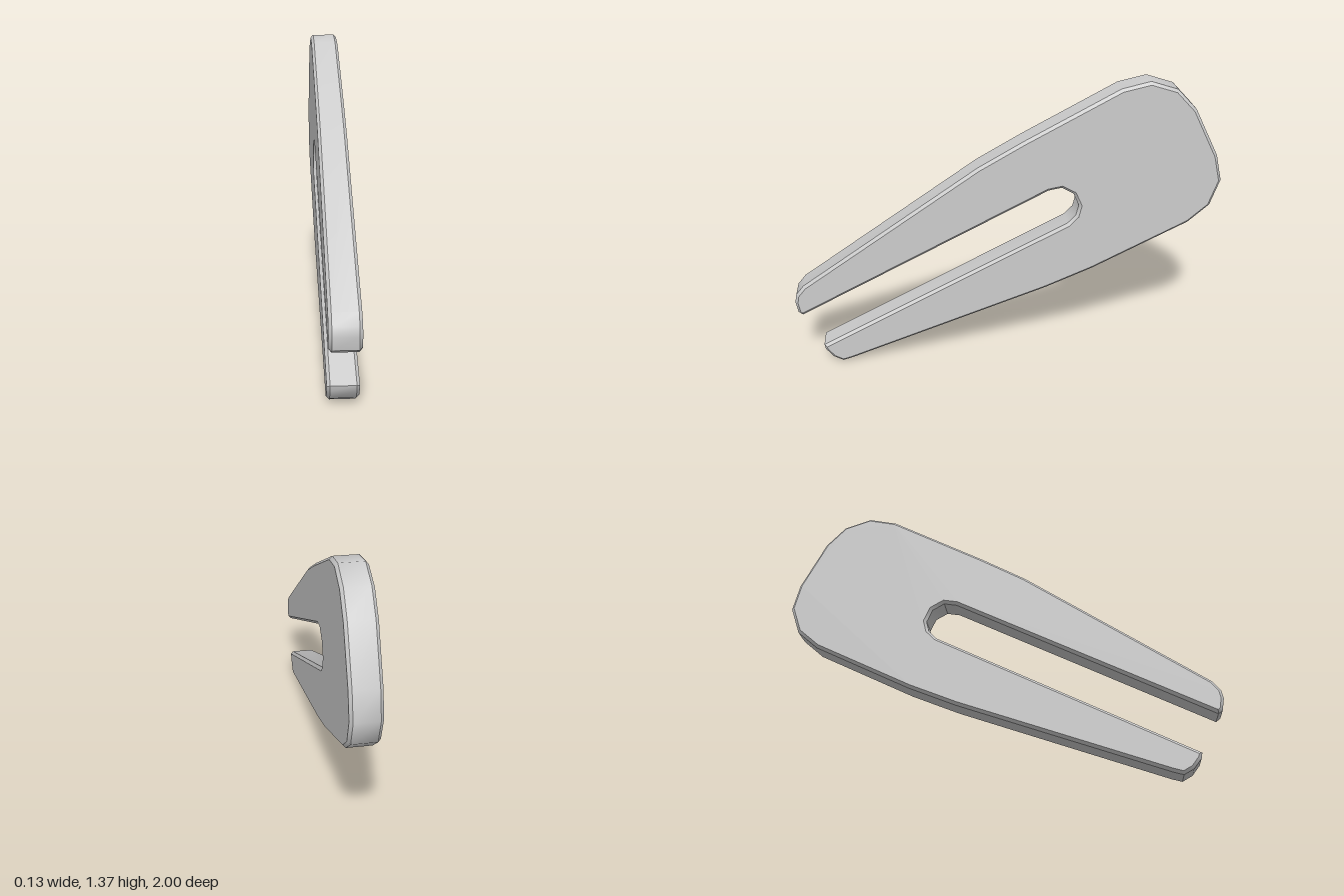
import * as THREE from 'three';
import { toCreasedNormals } from 'three/addons/utils/BufferGeometryUtils.js';

const WIDTH = 0.132;
const BEVEL = 0.013;

// Side profile as [z, y] points
const upperProng = [[0.97, 0.27], [0.99, 0.285], [1, 0.34], [0.992, 0.38], [0.955, 0.425], [0.13, 0.99], [-0.08, 1.11]];
const roundedHead = [[-0.51, 1.34], [-0.64, 1.37], [-0.765, 1.33], [-0.855, 1.235], [-0.97, 1.01], [-1, 0.885], [-0.957, 0.76], [-0.86, 0.675]];
const lowerProng = [[-0.41, 0.45], [-0.19, 0.357], [0.755, 0.013], [0.8, 0], [0.845, 0.025], [0.88, 0.07], [0.885, 0.095]];
const slot = [[-0.287, 0.695], [-0.325, 0.735], [-0.337, 0.785], [-0.31, 0.845], [-0.255, 0.876], [-0.195, 0.865]];

export function createModel() {
  const group = new THREE.Group();
  group.name = 'forkedWedge';

  const outline = [...upperProng, ...roundedHead, ...lowerProng, ...slot];
  const shape = new THREE.Shape(outline.map(([z, y]) => new THREE.Vector2(z, y)));

  // Forked plate with softened rims, turned so its thickness runs along x
  let plate = new THREE.ExtrudeGeometry(shape, {
    depth: WIDTH - 2 * BEVEL,
    bevelThickness: BEVEL,
    bevelSize: BEVEL,
    bevelOffset: -BEVEL,
    bevelSegments: 1,
  });
  plate.translate(0, 0, BEVEL - WIDTH / 2);
  plate.rotateY(-Math.PI / 2);
  plate = toCreasedNormals(plate, 0.65);

  const body = new THREE.Mesh(plate, new THREE.MeshStandardMaterial({ color: 0xcccccc }));
  body.name = 'forkedPlate';
  group.add(body);
  return group;
}
